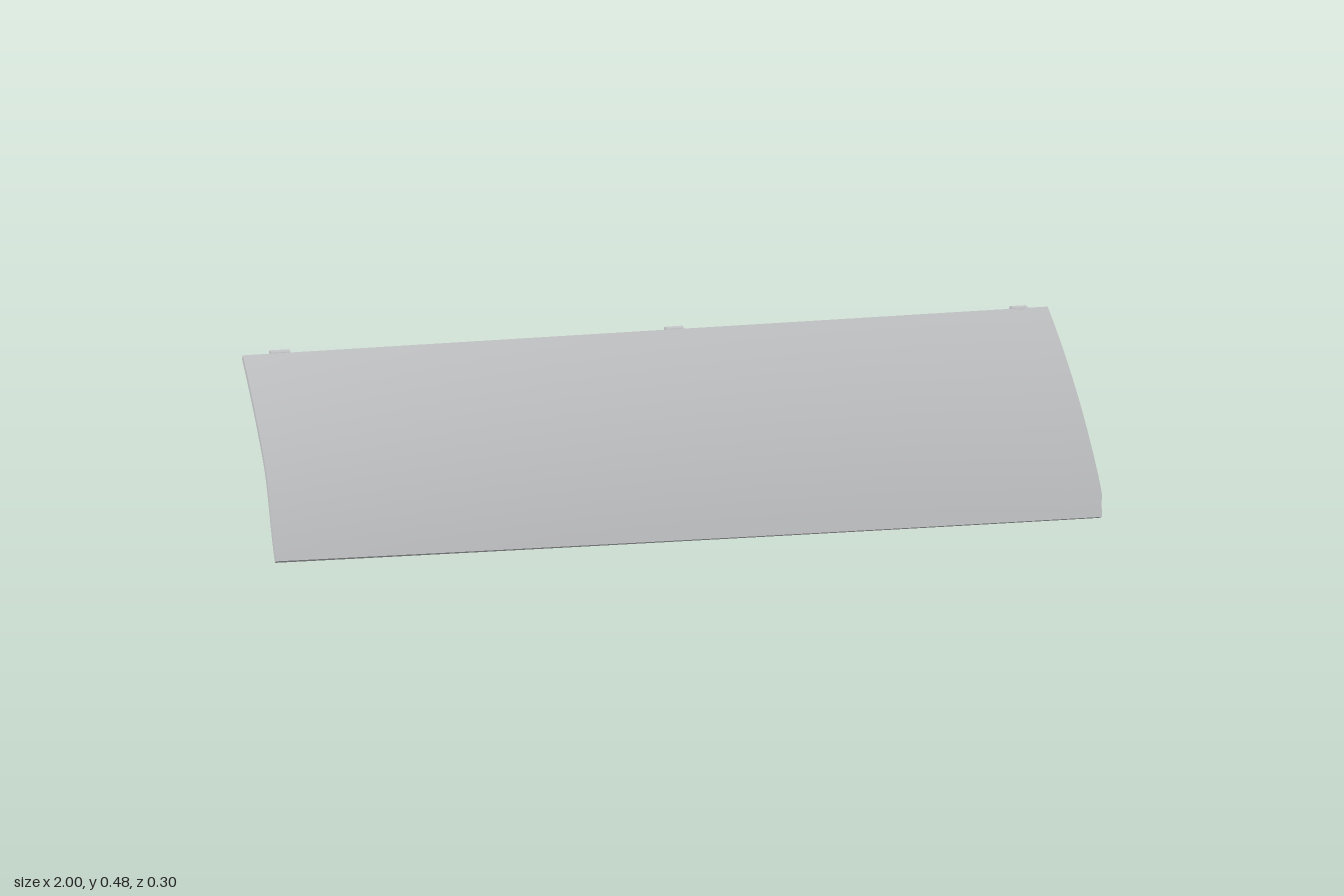
import * as THREE from 'three';

const lerp = THREE.MathUtils.lerp;
const smooth = THREE.MathUtils.smoothstep;

// Point on the bowed panel: s runs along x (-1..1), t from top (0) to bottom (1), d is depth behind the face
function panelPoint(s, t, d) {
  const k = (s + 1) / 2;
  const top = [lerp(-0.127, -0.131, k), 0.475];
  const bottom = [0.131 + 0.006 * s + 0.012 * s * s, 0.043 - 0.0405 * s + 0.0045 * s * s];
  const cz = bottom[0] - top[0], cy = bottom[1] - top[1];
  const len = Math.hypot(cz, cy);
  const bulge = 2 * lerp(0.0165, 0.021, k);
  const ctrl = [(top[0] + bottom[0]) / 2 - (cy / len) * bulge, (top[1] + bottom[1]) / 2 + (cz / len) * bulge];
  const bez = (i) => (1 - t) ** 2 * top[i] + 2 * t * (1 - t) * ctrl[i] + t * t * bottom[i];
  const tan = (i) => (1 - t) * (ctrl[i] - top[i]) + t * (bottom[i] - ctrl[i]);
  const tz = tan(0), ty = tan(1), tl = Math.hypot(tz, ty);
  // the ends flare at one lower corner and tuck in at the other
  const x = lerp(-0.99, 0.998, k)
    - 0.01 * smooth(t, 0.5, 1) * (1 - k) - 0.013 * smooth(t, 0.88, 1) * k;
  return [x, bez(1) - (tz / tl) * d, bez(0) + (ty / tl) * d];
}

// Slab that follows the panel between the given limits
function bentSlab(name, material, s0, s1, t0, t1, d0, d1) {
  const nu = Math.max(1, Math.ceil((s1 - s0) * 12));
  const nv = Math.max(1, Math.ceil((t1 - t0) * 20));
  const geo = new THREE.BoxGeometry(1, 1, 1, nu, nv, 1);
  const p = geo.attributes.position;
  for (let i = 0; i < p.count; i++) {
    p.setXYZ(i, ...panelPoint(
      lerp(s0, s1, p.getX(i) + 0.5),
      lerp(t1, t0, p.getY(i) + 0.5),
      lerp(d1, d0, p.getZ(i) + 0.5)));
  }
  geo.computeVertexNormals();
  const mesh = new THREE.Mesh(geo, material);
  mesh.name = name;
  return mesh;
}

export function createModel() {
  const model = new THREE.Group();
  model.name = 'curvedPanel';
  const grey = new THREE.MeshStandardMaterial({ color: 0xc8c9cb });
  grey.name = 'lightGrey';

  // Outer skin
  model.add(bentSlab('skin', grey, -1, 1, 0, 1, 0, 0.007));

  // Raised border on the back
  const top = 0.065, low = 0.9, side = 0.955, front = 0.006, back = 0.0125;
  model.add(bentSlab('topBorder', grey, -1, 1, 0, top, front, back));
  model.add(bentSlab('bottomBorder', grey, -1, 1, low, 1, front, back));
  model.add(bentSlab('rightBorder', grey, -1, -side, top, low, front, back));
  model.add(bentSlab('leftBorder', grey, side, 1, top, low, front, back));

  // Stiffening ribs: five columns in two rows
  for (const s of [-0.575, -0.19, 0.2, 0.585]) {
    model.add(bentSlab('uprightRib', grey, s - 0.009, s + 0.009, top, low, front, back));
  }
  model.add(bentSlab('longRib', grey, -side, side, 0.475, 0.495, front, back));

  // Hinge clips along the top edge
  const stemShape = new THREE.Shape([
    [-0.128, 0.472], [-0.147, 0.466], [-0.143, 0.455], [-0.122, 0.421], [-0.11, 0.423], [-0.104, 0.432],
  ].map(([z, y]) => new THREE.Vector2(z, y)));
  const stemGeo = new THREE.ExtrudeGeometry(stemShape, { depth: 0.018, bevelEnabled: false });
  stemGeo.translate(0, 0, -0.009).rotateY(-Math.PI / 2);
  const barrelGeo = new THREE.CylinderGeometry(0.0105, 0.0105, 0.042, 8).rotateZ(Math.PI / 2);
  for (const x of [-0.908, 0.006, 0.92]) {
    const clip = new THREE.Group();
    clip.name = 'hingeClip';
    const stem = new THREE.Mesh(stemGeo, grey);
    stem.name = 'clipStem';
    const barrel = new THREE.Mesh(barrelGeo, grey);
    barrel.name = 'clipBarrel';
    barrel.position.set(0, 0.47, -0.139);
    clip.add(stem, barrel);
    clip.position.x = x;
    model.add(clip);
  }
  return model;
}
